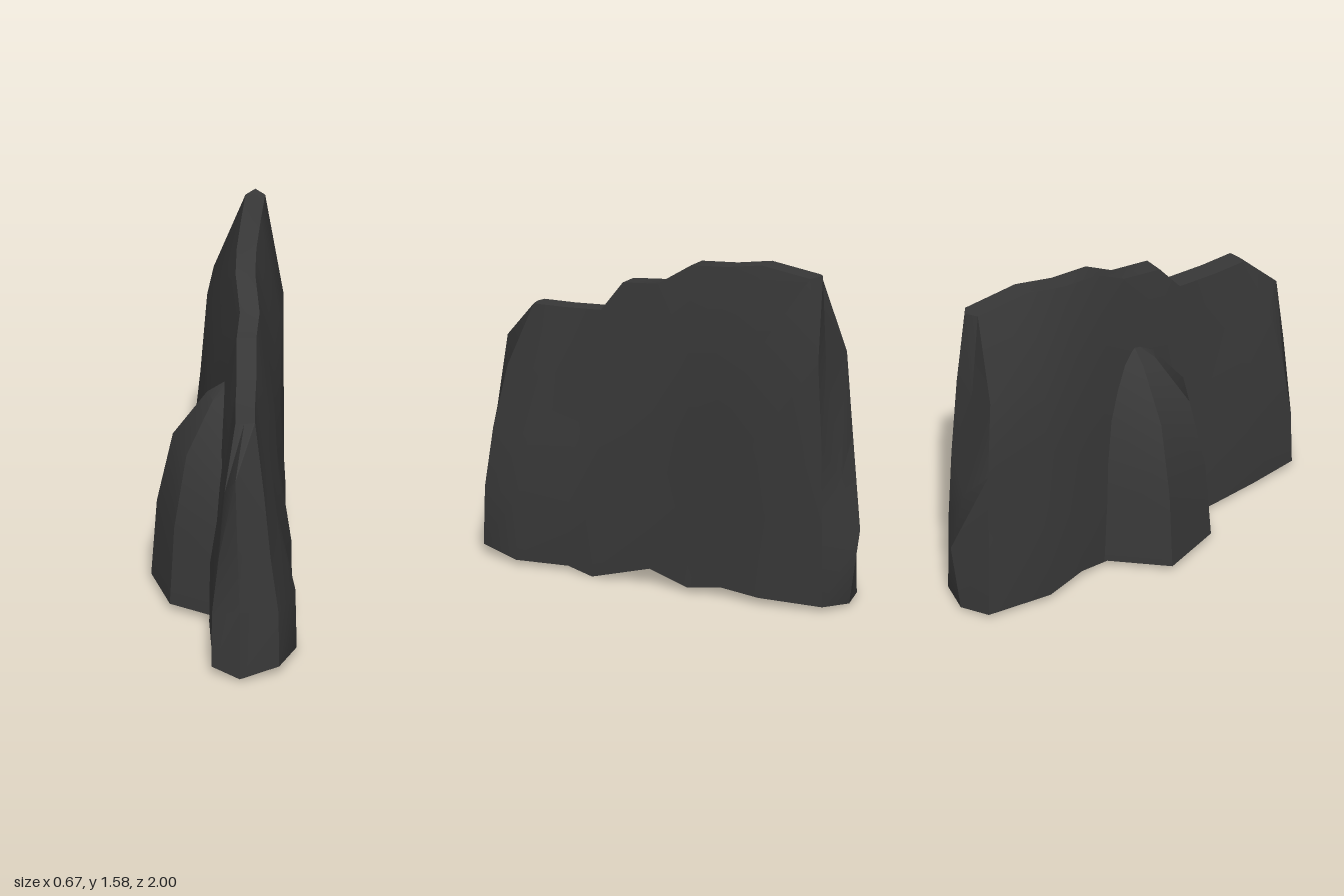
import * as THREE from 'three';
import { toCreasedNormals } from 'three/addons/utils/BufferGeometryUtils.js';

// Skin a list of closed rings of [x, y, z] points, leaving out collapsed triangles.
function loft(rings) {
  const pos = [];
  const tri = (...pts) => {
    const [a, b, c] = pts.map(p => new THREE.Vector3(...p));
    if (new THREE.Triangle(a, b, c).getArea() > 1e-6) pts.forEach(p => pos.push(...p));
  };
  const n = rings[0].length;
  for (let i = 0; i < rings.length - 1; i++) {
    for (let j = 0; j < n; j++) {
      const k = (j + 1) % n;
      const a = rings[i][j], b = rings[i][k], c = rings[i + 1][j], d = rings[i + 1][k];
      tri(a, b, c);
      tri(b, d, c);
    }
  }
  const g = new THREE.BufferGeometry();
  g.setAttribute('position', new THREE.Float32BufferAttribute(pos, 3));
  return toCreasedNormals(g, 0.6);
}

// Slab slice: sides lean from a low to a high width, then close in to a narrow crest.
function slice([z, topZ, base, top, leftLow, leftHigh, crest, rightLow, rightHigh]) {
  const lerp = THREE.MathUtils.lerp;
  const side = (low, high, crestX) => [0, 0.27, 0.5, 0.75, 1].map(t => [
    t === 1 ? crestX : lerp(low, high, THREE.MathUtils.smoothstep(t, 0.2, 0.75)),
    t === 0 ? base : top * t,
    lerp(z, topZ, t ** 3),
  ]);
  return [
    ...side(leftLow, leftHigh, crest - 0.045),
    ...side(rightLow, rightHigh, crest + 0.045).reverse(),
  ];
}

// End edge of the slab: a single upright line walked up and back down.
const edge = line => [...line, ...[...line].reverse()];

export function createModel() {
  const group = new THREE.Group();
  const stone = new THREE.MeshStandardMaterial({ color: 0x383838 });
  stone.name = 'dark stone';

  const add = (name, geometry) => {
    const mesh = new THREE.Mesh(geometry, stone);
    mesh.name = name;
    group.add(mesh);
  };

  // Main slab, from the front edge to the back edge
  const frontEdge = edge([
    [0.07, 0.02, 1], [0.07, 0.35, 0.97], [0.06, 0.65, 0.98], [0.05, 1, 0.93], [0.09, 1.2, 0.74],
  ]);
  const backEdge = edge([
    [0.06, 0.02, -0.94], [0.06, 0.38, -1], [0.08, 0.62, -0.91], [0.1, 1.15, -0.84], [0.14, 1.585, -0.85],
  ]);
  const slices = [
    [0.93, 0.73, 0.05, 1.2, -0.06, 0, 0.095, 0.25, 0.18],
    [0.7, 0.56, 0.03, 1.21, -0.06, 0.01, 0.095, 0.33, 0.19],
    [0.45, 0.36, 0.03, 1.23, -0.07, 0.01, 0.1, 0.28, 0.2],
    [0.3, 0.24, 0.01, 1.38, -0.05, 0, 0.1, 0.31, 0.2],
    [0.02, 0.04, 0.08, 1.41, -0.05, 0, 0.115, 0.26, 0.22],
    [-0.2, -0.13, 0.03, 1.52, -0.1, -0.04, 0.095, 0.28, 0.23],
    [-0.36, -0.33, 0.05, 1.545, -0.11, -0.05, 0.1, 0.25, 0.26],
    [-0.58, -0.53, 0.04, 1.59, -0.15, -0.08, 0.12, 0.27, 0.27],
    [-0.89, -0.81, 0.03, 1.575, -0.08, -0.05, 0.14, 0.21, 0.19],
  ];
  add('rockSlab', loft([frontEdge, ...slices.map(slice), backEdge]));

  // Buttress on the right: one footprint shrinking toward its apex, closed at both ends
  const footprint = [[-0.1, -0.22], [-0.335, -0.01], [-0.25, 0.29], [-0.02, 0.43], [0.1, 0.1]];
  const apex = [0.03, 0.05];
  const ring = ([y, size]) => footprint.map(([x, z]) => [
    apex[0] + (x - apex[0]) * size, y, apex[1] + (z - apex[1]) * size,
  ]);
  const rise = [[0.04, 0], [0.04, 1], [0.42, 0.93], [0.77, 0.73], [1, 0.3], [1.08, 0]];
  add('buttress', loft(rise.map(ring)));

  return group;
}
